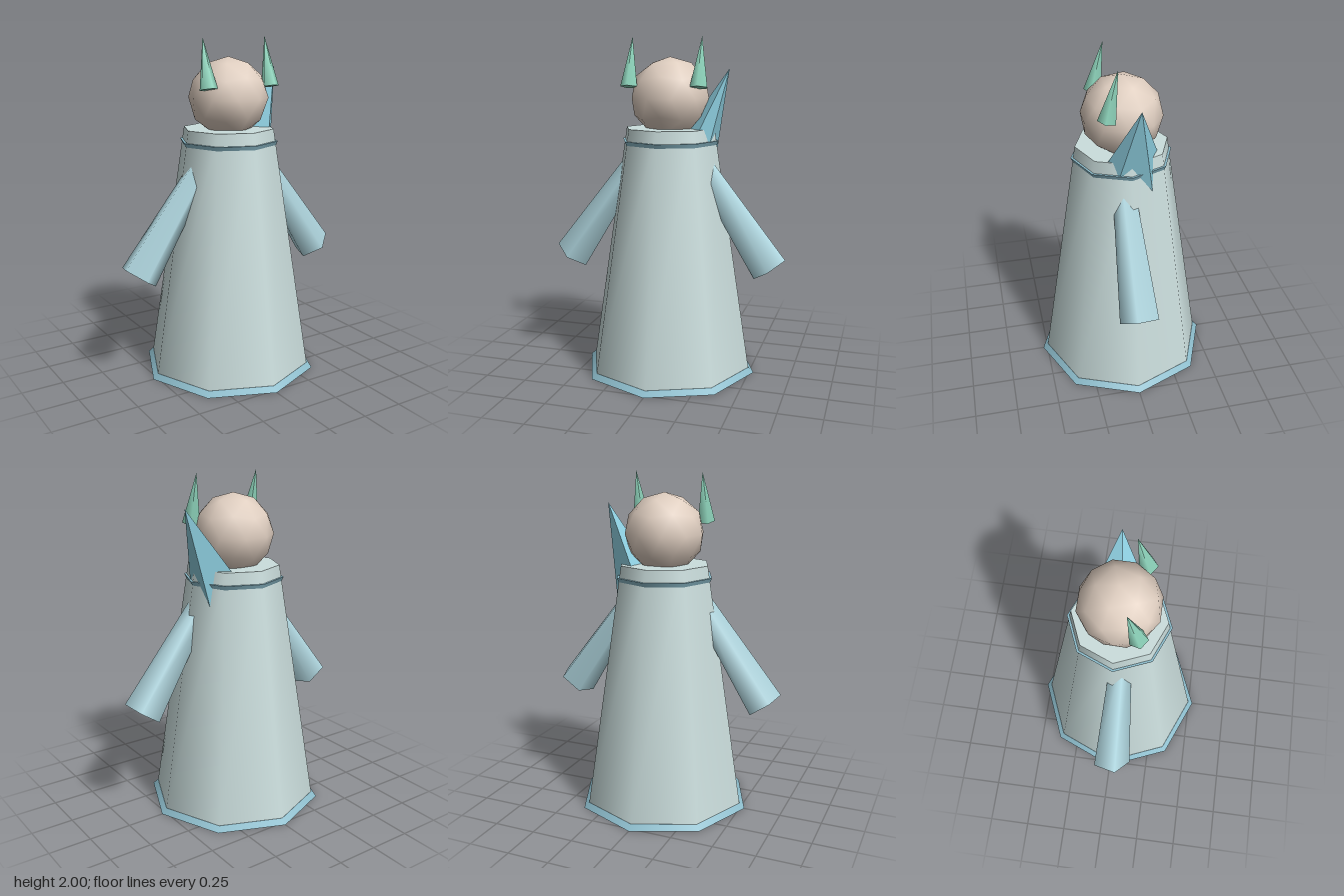
import * as THREE from 'three';

const material = (color) => new THREE.MeshStandardMaterial({ color });
const robeMat = material(0xcbdedd);
const trimMat = material(0x8cbccb);
const sleeveMat = material(0xb2d9e2);
const skinMat = material(0xe0cfc1);
const hornMat = material(0x8fd6bd);
const spikeMat = material(0x8bcbdc);

export function createModel() {
  const model = new THREE.Group();
  model.name = 'robedFigure';

  const add = (name, geometry, mat, position = [0, 0, 0]) => {
    const mesh = new THREE.Mesh(geometry, mat);
    mesh.name = name;
    mesh.position.set(...position);
    model.add(mesh);
    return mesh;
  };

  // Tapered part with its two end centres given
  const up = new THREE.Vector3(0, 1, 0);
  const taper = (name, from, to, rFrom, rTo, sides, mat) => {
    const a = new THREE.Vector3(...from);
    const b = new THREE.Vector3(...to);
    const axis = b.clone().sub(a);
    const mesh = add(name, new THREE.CylinderGeometry(rTo, rFrom, axis.length(), sides), mat);
    mesh.position.copy(a).add(b).multiplyScalar(0.5);
    mesh.quaternion.setFromUnitVectors(up, axis.normalize());
    return mesh;
  };

  // Eight-sided robe with hem and collar bands
  taper('robe', [0, 0.005, 0], [0, 1.475, 0], 0.5, 0.27, 8, robeMat);
  taper('hem', [0, 0, 0], [0, 0.03, 0], 0.528, 0.497, 8, trimMat);
  taper('collar', [0, 1.375, 0], [0, 1.405, 0], 0.282, 0.295, 8, trimMat);

  // Faceted ball head with a vertex at the crown
  const headGeo = new THREE.IcosahedronGeometry(0.234, 1);
  headGeo.rotateX(Math.atan((1 + Math.sqrt(5)) / 2));
  add('head', headGeo, skinMat, [0, 1.652, 0]);

  // Five-sided sleeves and horns on both sides
  for (const [side, s] of [['left', 1], ['right', -1]]) {
    taper(side + 'Arm', [s * 0.62, 0.672, 0.028], [s * 0.164, 1.328, 0.028], 0.116, 0.062, 5, sleeveMat);
    taper(side + 'Horn', [s * 0.207, 1.715, 0.124], [s * 0.207, 2, 0.062], 0.054, 0, 5, hornMat);
  }

  // Leaning five-ridged spike on the left shoulder: ridges fan out below its tip
  const tip = [0.347, 1.82, -0.032];
  const drop = 0.55;
  const spread = [[-0.18, -0.17], [-0.21, 0.23], [-0.4, 0.44], [-0.7, 0.1], [-0.61, -0.41]];
  const base = spread.map(([x, z]) => [tip[0] + x * drop, tip[1] - drop, tip[2] + z * drop]);
  const corners = [];
  base.forEach((p, i) => {
    const next = base[(i + 1) % base.length];
    corners.push(...tip, ...next, ...p);
    if (i > 0 && i < base.length - 1) corners.push(...base[0], ...p, ...next);
  });
  const spikeGeo = new THREE.BufferGeometry();
  spikeGeo.setAttribute('position', new THREE.Float32BufferAttribute(corners, 3));
  spikeGeo.computeVertexNormals();
  add('shoulderSpike', spikeGeo, spikeMat);

  return model;
}
